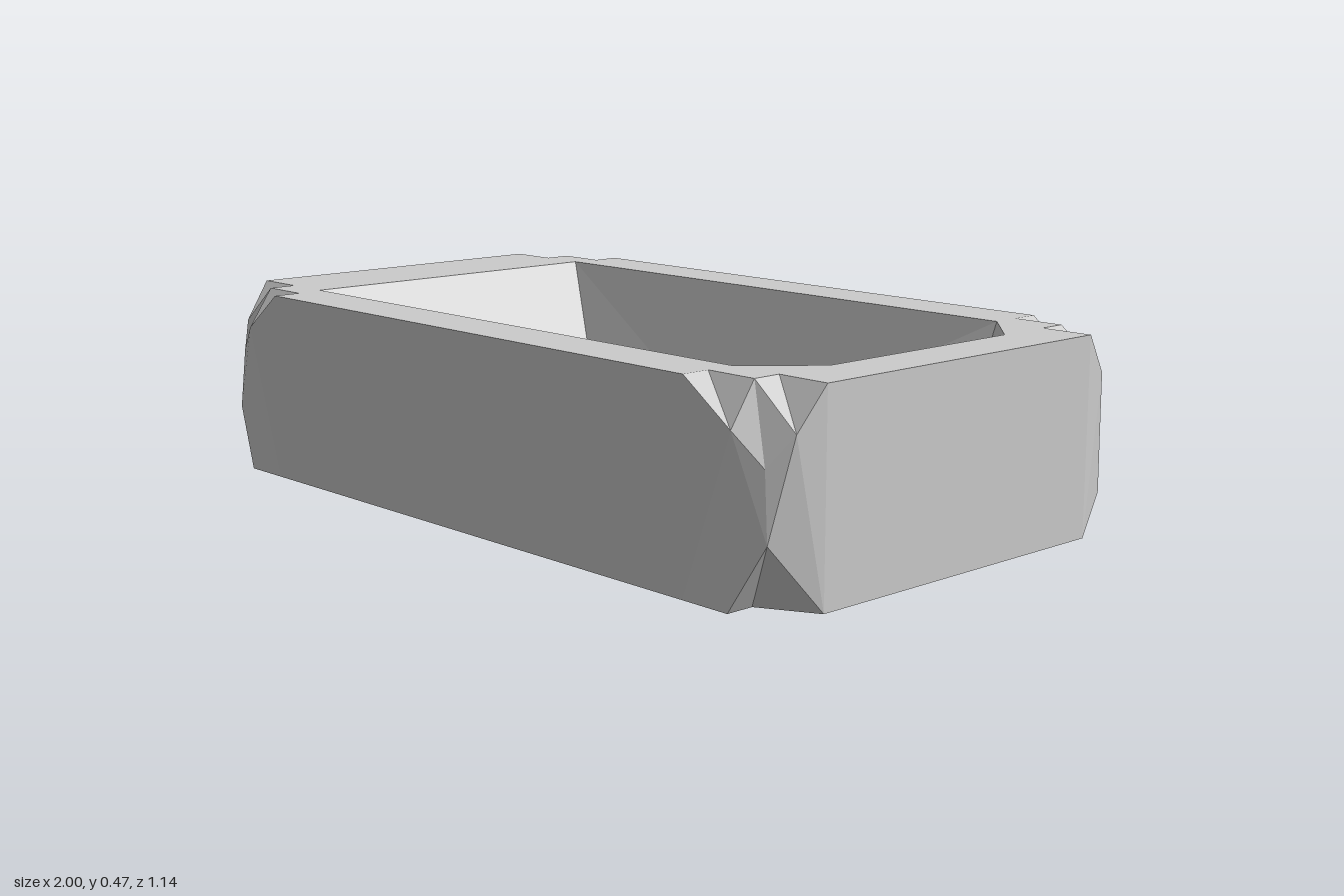
import * as THREE from 'three';

const H = 0.465;
const material = new THREE.MeshStandardMaterial({ color: 0xcccccc, flatShading: true });

// Faceted mesh; each triangle is turned away from (side 1) or towards (side -1) a reference point.
function facets(name, tris, ref, side) {
  const pos = [];
  const n = new THREE.Vector3(), mid = new THREE.Vector3();
  for (const t of tris) {
    const v = t.map(p => new THREE.Vector3(...p));
    const tri = new THREE.Triangle(...v);
    tri.getNormal(n);
    tri.getMidpoint(mid);
    if (n.dot(mid.sub(ref)) * side < 0) v.reverse();
    for (const p of v) pos.push(p.x, p.y, p.z);
  }
  const g = new THREE.BufferGeometry();
  g.setAttribute('position', new THREE.Float32BufferAttribute(pos, 3));
  g.computeVertexNormals();
  return named(name, g);
}

function named(name, geometry) {
  const mesh = new THREE.Mesh(geometry, material);
  mesh.name = name;
  return mesh;
}

const quad = (a, b, c, d) => [[a, b, c], [a, c, d]];

// Key points of one chipped corner, mirrored by the signs sx and sz.
function corner(sx, sz) {
  const front = sz > 0;
  const p = (x, y, z) => [x * sx, y, z * sz];
  const bx = front ? 0.87 : 0.78;
  return {
    top: [p(0.74, H, 0.57), p(0.74, H, 0.5), p(0.87, H, 0.5), p(0.87, H, 0.43), p(1, H, 0.43)],
    face: p(0.87, 0.37, front ? 0.565 : 0.55),
    end: p(0.985, 0.37, 0.5),
    upper: p(0.94, 0.3, 0.54),
    lower: p(0.955, front ? 0.15 : 0.08, 0.547),
    bottom: [p(bx, 0, 0.57), p(0.87, 0, front ? 0.5 : 0.45), p(1, 0, 0.43)],
    mid: p(0.74, 0, 0.57),
  };
}

// Facets of the chip plus the bevelled ends of the two walls beside it.
function cornerFacets({ top: t, face, end, upper, lower, bottom: b, mid }) {
  return [
    [t[0], t[1], face], [t[1], t[2], face], [t[2], upper, face],
    [t[2], end, upper], [t[2], t[3], end], [t[3], t[4], end],
    [t[0], face, mid], [face, b[0], mid], [face, lower, b[0]], [face, upper, lower],
    [t[4], b[2], end], [end, b[2], lower], [end, lower, upper],
    [lower, b[2], b[1]], [lower, b[1], b[0]],
  ];
}

// Horizontal sheet from an outline and an optional hole, given as [x, y, z] points.
function sheet(name, outline, hole, y, up) {
  const flat = pts => pts.map(p => new THREE.Vector2(p[0], up ? -p[2] : p[2]));
  const shape = new THREE.Shape(flat(outline));
  if (hole) shape.holes.push(new THREE.Path(flat(hole)));
  const g = new THREE.ShapeGeometry(shape);
  g.rotateX(up ? -Math.PI / 2 : Math.PI / 2);
  g.translate(0, y, 0);
  return named(name, g);
}

export function createModel() {
  const group = new THREE.Group();
  group.name = 'trough';

  // Outer walls with four chipped corners
  const fr = corner(1, 1), fl = corner(-1, 1), br = corner(1, -1), bl = corner(-1, -1);
  const walls = [fr, fl, br, bl].flatMap(cornerFacets);
  for (const [a, b] of [[fr, fl], [br, bl]]) walls.push(...quad(a.top[0], b.top[0], b.mid, a.mid));
  for (const [a, b] of [[fr, br], [fl, bl]]) walls.push(...quad(a.top[4], b.top[4], b.bottom[2], a.bottom[2]));
  group.add(facets('outerWalls', walls, new THREE.Vector3(0, 0.23, 0), 1));

  // Outlines walk round the four corners
  const loop = key => [
    ...fr[key], ...[...br[key]].reverse(), ...bl[key], ...[...fl[key]].reverse(),
  ];

  // Opening of the basin: square at the left end, cut corners at the other
  const opening = [
    [-0.75, H, 0.43], [0.74, H, 0.43], [0.87, H, 0.28],
    [0.87, H, -0.29], [0.74, H, -0.43], [-0.75, H, -0.43],
  ];
  group.add(sheet('rim', loop('top'), opening, H, true));
  group.add(sheet('underside', loop('bottom'), null, 0, false));

  // Basin walls and gently sloping floor
  const floorFront = [[-0.5, 0.1, 0.28], [0, 0.085, 0.28], [0.74, 0.16, 0.28]];
  const floorBack = floorFront.map(([x, y]) => [x, y, -0.29]);
  const o = opening;
  const basin = [
    ...quad(o[0], o[5], floorBack[0], floorFront[0]),
    ...quad(o[2], o[3], floorBack[2], floorFront[2]),
    [o[1], o[2], floorFront[2]], [o[3], o[4], floorBack[2]],
  ];
  for (const [left, right, f] of [[o[0], o[1], floorFront], [o[5], o[4], floorBack]]) {
    basin.push([left, f[0], f[1]], [left, f[1], right], [right, f[1], f[2]]);
  }
  for (let i = 0; i < 2; i++) {
    basin.push(...quad(floorFront[i], floorFront[i + 1], floorBack[i + 1], floorBack[i]));
  }
  group.add(facets('basin', basin, new THREE.Vector3(0.1, 0.42, 0), -1));

  return group;
}
